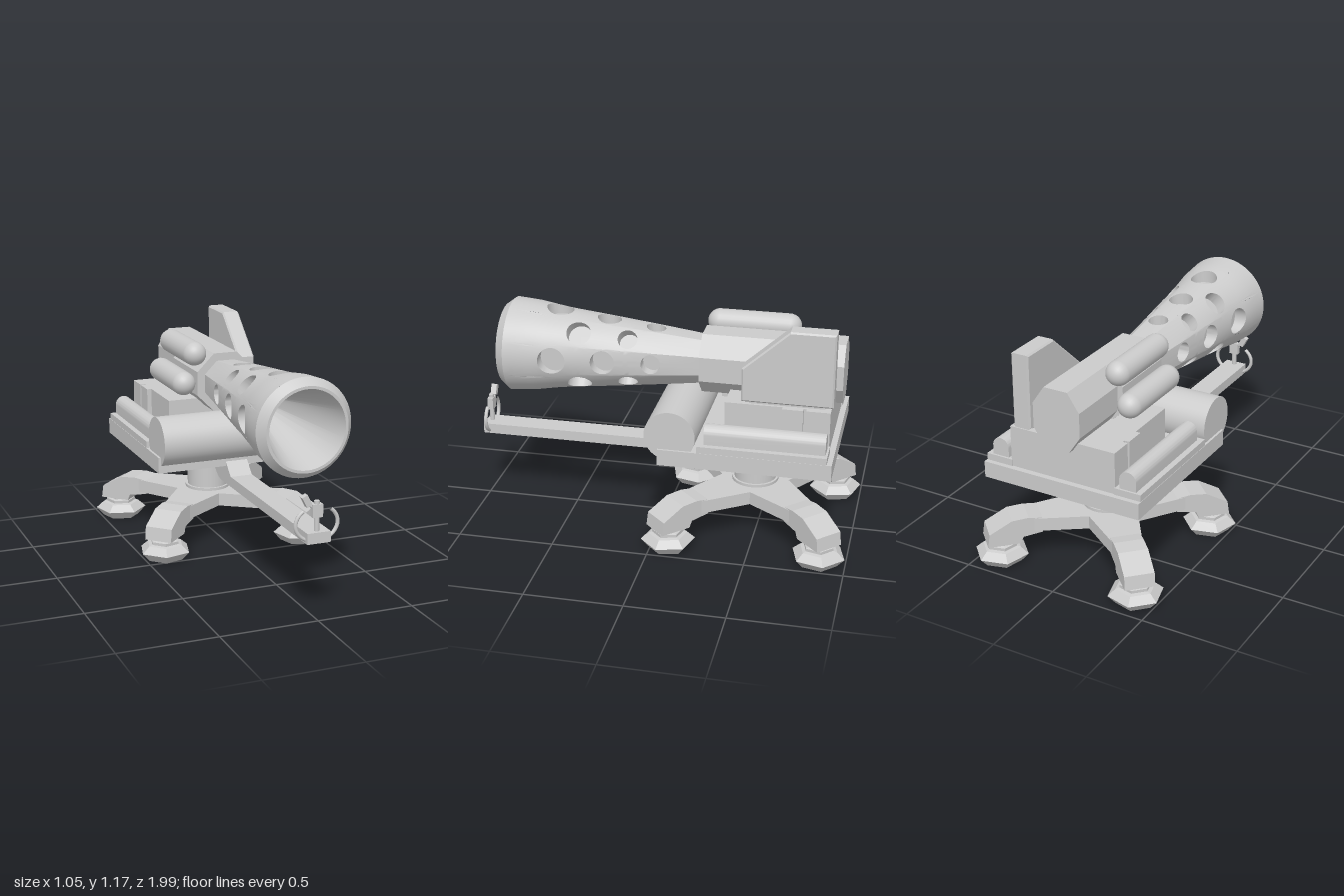
import * as THREE from 'three';
import { toCreasedNormals } from 'three/addons/utils/BufferGeometryUtils.js';

const grey = new THREE.MeshStandardMaterial({ color: 0xcccccc });
const CZ = -0.475;   // turret centre
const BY = 0.897;    // barrel axis height

export function createModel() {
  const root = new THREE.Group();

  const add = (name, geo, x = 0, y = 0, z = 0, parent = root) => {
    const m = new THREE.Mesh(geo, grey);
    m.name = name;
    m.position.set(x, y, z);
    parent.add(m);
    return m;
  };
  // box given by its limits
  const box = (name, x0, x1, y0, y1, z0, z1, parent) =>
    add(name, new THREE.BoxGeometry(x1 - x0, y1 - y0, z1 - z0),
      (x0 + x1) / 2, (y0 + y1) / 2, (z0 + z1) / 2, parent);
  const shapeOf = pts => new THREE.Shape(pts.map(p => new THREE.Vector2(p[0], p[1])));
  const extrude = (shape, depth, bevel = 0) => {
    const g = new THREE.ExtrudeGeometry(shape, {
      depth: depth - 2 * bevel, curveSegments: 12, bevelEnabled: bevel > 0,
      bevelSize: bevel, bevelOffset: -bevel, bevelThickness: bevel, bevelSegments: 1,
    });
    return g.translate(0, 0, bevel - depth / 2);
  };
  // profile drawn in (z, y), given a width along x
  const side = (shape, width, bevel) => extrude(shape, width, bevel).rotateY(-Math.PI / 2);

  // ---- stand: four-armed star, elbows and feet ----
  const star = [];
  for (let k = 0; k < 4; k++) {
    const a = Math.PI / 4 + k * Math.PI / 2, c = Math.cos(a), s = Math.sin(a);
    for (const [r, t] of [[0.42, -0.07], [0.42, 0.07], [0.125, 0.125]])
      star.push([r * c - t * s, r * s + t * c]);
  }
  add('standStar', extrude(shapeOf(star), 0.07).rotateX(-Math.PI / 2), 0, 0.21, CZ);

  const elbow = side(shapeOf([[0.35, 0.165], [0.45, 0.15], [0.465, 0.115], [0.63, 0.115],
    [0.62, 0.185], [0.505, 0.248], [0.42, 0.255], [0.35, 0.245]]), 0.15);
  const foot = toCreasedNormals(new THREE.LatheGeometry([[0, 0], [0.1, 0], [0.14, 0.045],
    [0.1, 0.08], [0.08, 0.085], [0.08, 0.1], [0.062, 0.105], [0.062, 0.13], [0, 0.13]]
    .map(p => new THREE.Vector2(...p)), 6), 0.2);
  for (let k = 0; k < 4; k++) {
    const leg = new THREE.Group();
    leg.name = 'leg';
    leg.position.z = CZ;
    leg.rotation.y = Math.PI / 4 + k * Math.PI / 2;
    add('elbow', elbow, 0, 0, 0, leg);
    add('foot', foot, 0, 0, 0.548, leg).rotation.y = Math.PI / 6;
    root.add(leg);
  }
  add('columnFlange', new THREE.CylinderGeometry(0.122, 0.122, 0.02, 32), 0, 0.25, CZ);
  add('column', new THREE.CylinderGeometry(0.11, 0.11, 0.24, 32), 0, 0.37, CZ);

  // ---- platform, drum and side pods ----
  box('platform', -0.432, 0.432, 0.48, 0.565, -0.91, -0.04);
  add('frontDrum', new THREE.CylinderGeometry(0.13, 0.13, 0.84, 40).rotateZ(Math.PI / 2), 0, 0.635, -0.1);
  const podShape = shapeOf([[-0.045, 0.595], [0.045, 0.595], [0.045, 0.65]]);
  podShape.absarc(0, 0.65, 0.045, 0, Math.PI);
  const pod = toCreasedNormals(extrude(podShape, 0.605), 0.6);
  for (const s of [-1, 1]) {
    box('podBase', s * 0.358 - 0.072, s * 0.358 + 0.072, 0.565, 0.6, -0.885, -0.24);
    add('sidePod', pod, s * 0.355, 0, -0.572);
    for (const [z0, z1] of [[-0.88, -0.76], [-0.745, -0.64]])
      box('sidePanel', s * 0.275 - 0.015, s * 0.275 + 0.015, 0.565, 0.78, z0, z1);
  }
  box('pedestal', -0.265, 0.265, 0.565, 0.78, -0.88, -0.35);

  // ---- eight-sided breech ----
  const octagon = w => shapeOf([[0.064, 0.157], [-0.064, 0.157], [-w, 0.064], [-w, -0.064],
    [-0.064, -0.157], [0.064, -0.157], [w, -0.064], [w, 0.064]]);
  add('breechRear', extrude(octagon(0.127), 0.345), 0, BY, -0.7475);
  add('breechFront', extrude(octagon(0.157), 0.38), 0, BY, -0.385);

  // ---- gas bottles and shield ----
  for (const [x, y] of [[-0.155, 1.05], [-0.217, 0.895]])
    add('bottle', new THREE.CapsuleGeometry(0.063, 0.36, 8, 24).rotateX(Math.PI / 2), x, y, -0.428);
  add('shield', side(shapeOf([[-0.43, 0.79], [-0.43, 0.965], [-0.665, 1.175],
    [-0.89, 1.175], [-0.89, 0.79]]), 0.095, 0.008), 0.215);
  box('shieldMount', 0.18, 0.25, 0.76, 0.81, -0.85, -0.47);

  // ---- barrel: octagonal at the breech, round at the muzzle, with blind holes ----
  const profile = [[-0.22, 0.113], [0.56, 0.213], [0.68, 0.234], [0.81, 0.245]];
  const radius = z => {
    let i = 0;
    while (i < profile.length - 2 && z > profile[i + 1][0]) i++;
    const [[za, ra], [zb, rb]] = [profile[i], profile[i + 1]];
    return ra + (rb - ra) * (z - za) / (zb - za);
  };
  const pos = [];
  const N = 40, STEPS = 5;
  // one patch of the skin with a round hole in its middle
  const holeCell = (th0, zc, a, z0, z1) => {
    const skin = (d, z) => {
      const t = Math.min(1, Math.max(0, (z + 0.2) / 0.7));
      const r = radius(z) * ((1 - t) / Math.cos(d) + t);
      return [r * Math.cos(th0 + d), r * Math.sin(th0 + d), z];
    };
    const R = radius(zc), floorR = R - 0.055;
    const ray = j => {
      const f = j / N * Math.PI * 2, c = Math.cos(f), s = Math.sin(f);
      const m = Math.max(Math.abs(c), Math.abs(s));
      const floor = k => [floorR * Math.cos(th0) - k * a * c * Math.sin(th0),
        floorR * Math.sin(th0) + k * a * c * Math.cos(th0), zc + k * a * s];
      const d0 = Math.asin(a * c / R), e0 = zc + a * s;
      const d1 = c / m * Math.PI / 8, e1 = zc + s / m * (s > 0 ? z1 - zc : zc - z0);
      const out = [floor(0), floor(1)];
      for (let i = 0; i <= STEPS; i++)
        out.push(skin(d0 + (d1 - d0) * i / STEPS, e0 + (e1 - e0) * i / STEPS));
      return out;
    };
    for (let j = 0; j < N; j++) {
      const p = ray(j), q = ray((j + 1) % N);
      for (let i = 0; i < p.length - 1; i++) {
        pos.push(...p[i], ...p[i + 1], ...q[i + 1]);
        if (i > 0) pos.push(...p[i], ...q[i + 1], ...q[i]);
      }
    }
  };
  for (let k = 0; k < 8; k++) {
    const th = k * Math.PI / 4;
    const cells = k % 2
      ? [[0.18, 0.05, -0.22, 0.305], [0.43, 0.062, 0.305, 0.81]]
      : [[0.055, 0.05, -0.22, 0.18], [0.3, 0.062, 0.18, 0.43], [0.56, 0.07, 0.43, 0.81]];
    cells.forEach(c => holeCell(th, ...c));
  }
  const skinGeo = new THREE.BufferGeometry();
  skinGeo.setAttribute('position', new THREE.Float32BufferAttribute(pos, 3));
  add('barrel', toCreasedNormals(skinGeo, 0.5), 0, BY, 0);
  add('muzzle', toCreasedNormals(new THREE.LatheGeometry([[0.245, 0.81], [0.21, 0.855],
    [0.196, 0.855], [0.033, 0.2], [0, 0.2]].map(p => new THREE.Vector2(...p)), 64)
    .rotateX(Math.PI / 2), 0.5), 0, BY, 0);

  // ---- front arm with control handle ----
  const arm = shapeOf([[0.995, 0.44], [0.03, 0.44], [-0.04, 0.505], [-0.23, 0.505], [-0.23, 0.48]]);
  arm.quadraticCurveTo(-0.18, 0.386, -0.1, 0.386);
  arm.lineTo(0.995, 0.386);
  add('frontArm', toCreasedNormals(side(arm, 0.12), 0.5));

  const handle = new THREE.Group();
  handle.name = 'controlHandle';
  handle.position.z = 0.965;
  root.add(handle);
  const ring = add('handleRing', new THREE.TorusGeometry(0.108, 0.01, 8, 40, Math.PI * 280 / 180)
    .rotateZ(Math.PI * 130 / 180), 0, 0.475, 0, handle);
  ring.scale.y = 0.8;
  add('handlePost', new THREE.CylinderGeometry(0.013, 0.013, 0.09, 12), 0, 0.475, 0, handle);
  box('handleBlock', -0.026, 0.026, 0.508, 0.572, -0.015, 0.015, handle);
  add('handleKnob', new THREE.CylinderGeometry(0.013, 0.013, 0.03, 12), 0, 0.573, 0, handle);
  add('sightPlate', new THREE.BoxGeometry(0.03, 0.056, 0.03), -0.055, 0.593, 0, handle).rotation.z = 0.48;
  add('sightRod', new THREE.CylinderGeometry(0.006, 0.006, 0.05, 8), -0.034, 0.565, 0, handle).rotation.z = 0.9;

  return root;
}
